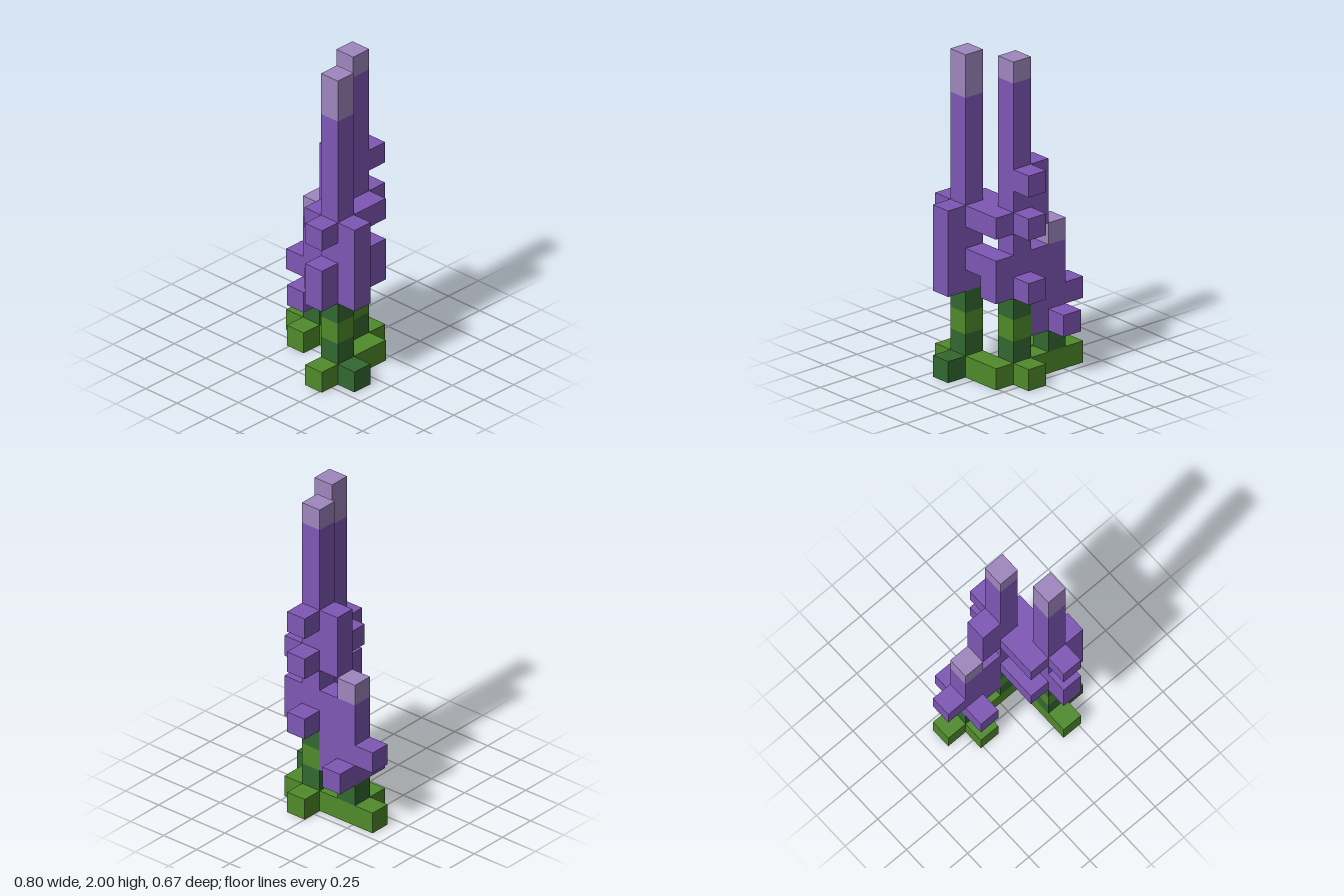
import * as THREE from 'three';

const U = 2 / 15; // one block

export function createModel() {
  const model = new THREE.Group();
  model.name = 'blockFlowers';

  const make = (name, color) => {
    const m = new THREE.MeshStandardMaterial({ color });
    m.name = name;
    return m;
  };
  const leafGreen = make('leafGreen', 0x4f8a2b);
  const stemGreen = make('stemGreen', 0x33682f);
  const petalPurple = make('petalPurple', 0x7e57b5);
  const tipLilac = make('tipLilac', 0x9f86bf);

  // Box of w x h x d blocks; i, j, k is its left, bottom, back cell
  const block = (parent, name, material, i, j, k, w = 1, h = 1, d = 1) => {
    const mesh = new THREE.Mesh(new THREE.BoxGeometry(w * U, h * U, d * U), material);
    mesh.position.set((i + w / 2 - 3) * U, (j + h / 2) * U, (k + d / 2 - 2.5) * U);
    mesh.name = name;
    parent.add(mesh);
  };
  const part = (name) => {
    const g = new THREE.Group();
    g.name = name;
    model.add(g);
    return g;
  };

  // Ground leaves
  const leaves = part('groundLeaves');
  block(leaves, 'leafRow', leafGreen, 0, 0, 1, 5);
  block(leaves, 'leafColumn', leafGreen, 4, 0, 2, 1, 1, 3);
  block(leaves, 'backLeaf', leafGreen, 3, 0, 0);
  block(leaves, 'frontLeaf', leafGreen, 1, 0, 2);
  block(leaves, 'darkLeaf', stemGreen, 5, 0, 3);

  // Two tall spikes with banded stems
  for (const [name, i, k, tip] of [['backSpike', 3, 1, 1], ['frontSpike', 4, 3, 2]]) {
    const spike = part(name);
    [stemGreen, leafGreen, stemGreen].forEach((m, n) => block(spike, 'stem', m, i, n + 1, k));
    block(spike, 'flowerSpike', petalPurple, i, 4, k, 1, 11 - tip, 1);
    block(spike, 'tip', tipLilac, i, 15 - tip, k, 1, tip, 1);
  }

  // Short spike
  const short = part('shortSpike');
  block(short, 'stem', stemGreen, 1, 1, 1);
  block(short, 'flowerSpike', petalPurple, 1, 2, 1, 2, 4, 1);
  block(short, 'tip', tipLilac, 1, 6, 1);
  block(short, 'sidePetal', petalPurple, 0, 3, 1);
  block(short, 'backPetal', petalPurple, 1, 2, 0);
  block(short, 'frontPetal', petalPurple, 1, 2, 2);

  // Petals around the tall spikes
  const petals = part('petals');
  for (const j of [4, 7, 9]) block(petals, 'backPetal', petalPurple, 3, j, 0);
  block(petals, 'rightPetal', petalPurple, 2, 7, 1, 1, 3, 1);
  block(petals, 'leftPetal', petalPurple, 5, 4, 3, 1, 4, 1);
  block(petals, 'lowerFrontPetal', petalPurple, 4, 4, 4, 1, 2, 1);
  block(petals, 'upperFrontPetal', petalPurple, 4, 7, 4);

  // Petals bridging the tall spikes
  block(petals, 'lowerBridge', petalPurple, 3, 4, 2, 1, 1, 2);
  block(petals, 'middleBridge', petalPurple, 4, 5, 2);
  block(petals, 'lowerSidePetal', petalPurple, 4, 4, 1, 1, 2, 1);
  block(petals, 'upperBridge', petalPurple, 3, 7, 2, 2, 1, 1);
  block(petals, 'upperSidePetal', petalPurple, 4, 7, 1);
  block(petals, 'upperRightPetal', petalPurple, 3, 7, 3);

  return model;
}
